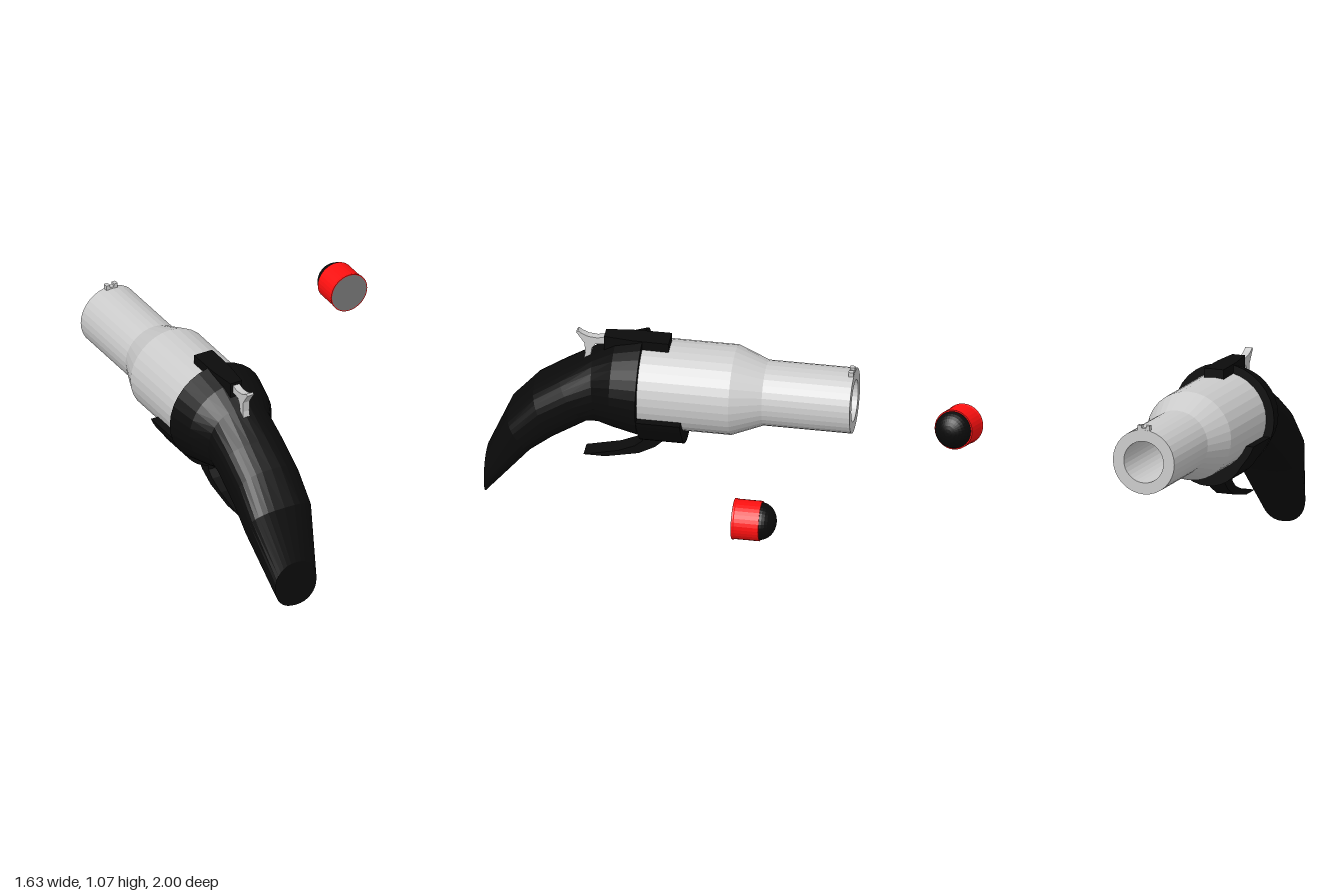
import * as THREE from 'three';

const mat = (color) => new THREE.MeshStandardMaterial({ color, flatShading: true, side: THREE.DoubleSide });
const AXIS_X = -0.527, AXIS_Y = 0.775;

export function createModel() {
  const model = new THREE.Group();
  const grey = mat(0xcccccc), black = mat(0x0b0b0b), red = mat(0xff1010);

  const add = (parent, name, geometry, material, x = 0, y = 0, z = 0) => {
    const mesh = new THREE.Mesh(geometry, material);
    mesh.name = name;
    mesh.position.set(x, y, z);
    parent.add(mesh);
    return mesh;
  };
  const points = (list) => list.map(([a, b]) => new THREE.Vector2(a, b));

  // Turned part along z; profile pairs are [radius, distance towards -z]
  const turned = (profile, sides = 32) =>
    new THREE.LatheGeometry(points(profile), sides).rotateX(-Math.PI / 2);

  // Flat plate from a side outline of [z, y] pairs, centred on x = 0
  const plate = (outline, width) =>
    new THREE.ExtrudeGeometry(new THREE.Shape(points(outline)), { depth: width, bevelEnabled: false })
      .translate(0, 0, -width / 2).rotateY(-Math.PI / 2);

  // Skin over rounded sections: top and bottom [z, y], half width, roundness power
  const loft = (sections, n = 32) => {
    const pos = [], index = [];
    const soft = (v, p) => Math.sign(v) * Math.abs(v) ** p;
    for (const { top, bottom, half, power = 1 } of sections) {
      const cz = (top[0] + bottom[0]) / 2, cy = (top[1] + bottom[1]) / 2;
      for (let i = 0; i < n; i++) {
        const a = (i / n) * Math.PI * 2, s = soft(Math.sin(a), power);
        pos.push(half * soft(Math.cos(a), power), cy + s * (top[1] - cy), cz + s * (top[0] - cz));
      }
    }
    const last = sections.length - 1;
    for (let s = 0; s < last; s++) {
      for (let i = 0; i < n; i++) {
        const j = (i + 1) % n, a = s * n + i, b = s * n + j;
        index.push(a, b, a + n, b, b + n, a + n);
      }
    }
    for (let i = 1; i < n - 1; i++) {
      index.push(0, i + 1, i, last * n, last * n + i, last * n + i + 1);
    }
    const g = new THREE.BufferGeometry();
    g.setAttribute('position', new THREE.Float32BufferAttribute(pos, 3));
    g.setIndex(index);
    g.computeVertexNormals();
    return g;
  };

  const gun = new THREE.Group();
  gun.name = 'flareGun';
  gun.position.x = AXIS_X;
  model.add(gun);

  // Stepped barrel with hollow bore
  add(gun, 'barrel', turned([
    [0, -0.15], [0.245, -0.15], [0.245, 0.35], [0.178, 0.52],
    [0.178, 1], [0.115, 1], [0.115, -0.1], [0, -0.1],
  ]), grey, 0, AXIS_Y, 0);

  // Notched front sight
  const sight = new THREE.Group();
  sight.name = 'frontSight';
  gun.add(sight);
  add(sight, 'sightBase', new THREE.BoxGeometry(0.07, 0.02, 0.028), grey, 0, 0.952, -0.985);
  for (const side of [-1, 1]) {
    add(sight, 'sightPost', new THREE.BoxGeometry(0.022, 0.02, 0.028), grey, side * 0.024, 0.967, -0.985);
  }

  // Round collar flowing into the curved grip
  add(gun, 'grip', loft([
    { top: [0.15, 1.066], bottom: [0.15, 0.484], half: 0.291 },
    { top: [0.3, 1.02], bottom: [0.3, 0.517], half: 0.255 },
    { top: [0.42, 0.942], bottom: [0.38, 0.537], half: 0.195, power: 0.9 },
    { top: [0.6, 0.82], bottom: [0.43, 0.55], half: 0.193, power: 0.8 },
    { top: [0.74, 0.72], bottom: [0.62, 0.43], half: 0.193, power: 0.75 },
    { top: [0.88, 0.55], bottom: [0.74, 0.34], half: 0.193, power: 0.7 },
    { top: [1.0, 0.27], bottom: [1.0, 0.003], half: 0.128, power: 0.9 },
  ]), black);

  // Cradle hugging the lower barrel, with a keel underneath
  const cradle = new THREE.Shape();
  const steps = 20, reach = 1.23;
  for (let i = 0; i <= steps; i++) {
    const a = -reach + (2 * reach * i) / steps;
    const r = 0.285 + 0.05 * Math.max(0, Math.cos(2 * a));
    cradle[i ? 'lineTo' : 'moveTo'](r * Math.sin(a), -r * Math.cos(a));
  }
  for (let i = steps; i >= 0; i--) {
    const a = -reach + (2 * reach * i) / steps;
    cradle.lineTo(0.235 * Math.sin(a), Math.min(-0.095, -0.235 * Math.cos(a)));
  }
  add(gun, 'cradle', new THREE.ExtrudeGeometry(cradle, { depth: 0.24, bevelEnabled: false }),
    black, 0, AXIS_Y, -0.09);

  // Top strap, tapering towards the hammer
  const strap = new THREE.Shape(points([
    [-0.056, 0.005], [0.056, 0.005], [0.054, 0.2], [0.036, 0.36], [-0.036, 0.36], [-0.054, 0.2],
  ]));
  add(gun, 'topStrap', new THREE.ExtrudeGeometry(strap, { depth: 0.1, bevelEnabled: false })
    .rotateX(Math.PI / 2), black, 0, 1.066, 0);

  // Hammer with curved spur
  add(gun, 'hammer', plate([
    [0.34, 1.055], [0.4, 1.04], [0.45, 1.045], [0.485, 1.06], [0.505, 1.075], [0.515, 1.065],
    [0.49, 1.03], [0.47, 1.0], [0.465, 0.94], [0.475, 0.89], [0.44, 0.88], [0.43, 0.97],
    [0.41, 1.0], [0.34, 1.01],
  ], 0.04), grey);

  // Swept-back trigger
  add(gun, 'trigger', plate([
    [0.02, 0.46], [0.03, 0.44], [0.08, 0.39], [0.17, 0.34], [0.35, 0.3], [0.47, 0.3],
    [0.28, 0.345], [0.19, 0.385], [0.15, 0.42], [0.14, 0.49],
  ], 0.1), black);

  // Loose cartridge: red case, grey base, black domed tip
  const cartridge = new THREE.Group();
  cartridge.name = 'cartridge';
  cartridge.position.set(0.7, AXIS_Y, 0);
  model.add(cartridge);
  add(cartridge, 'case', turned([
    [0.107, 0.545], [0.112, 0.545], [0.112, 0.555], [0.109, 0.56], [0.109, 0.695], [0, 0.695],
  ]), red);
  add(cartridge, 'base', new THREE.CircleGeometry(0.109, 32), mat(0x777777), 0, 0, -0.546);
  const dome = [];
  for (let i = 0; i <= 8; i++) {
    const a = (i / 8) * Math.PI / 2;
    dome.push([0.102 * Math.cos(a), 0.69 + 0.088 * Math.sin(a)]);
  }
  add(cartridge, 'tip', turned(dome), black);

  return model;
}
